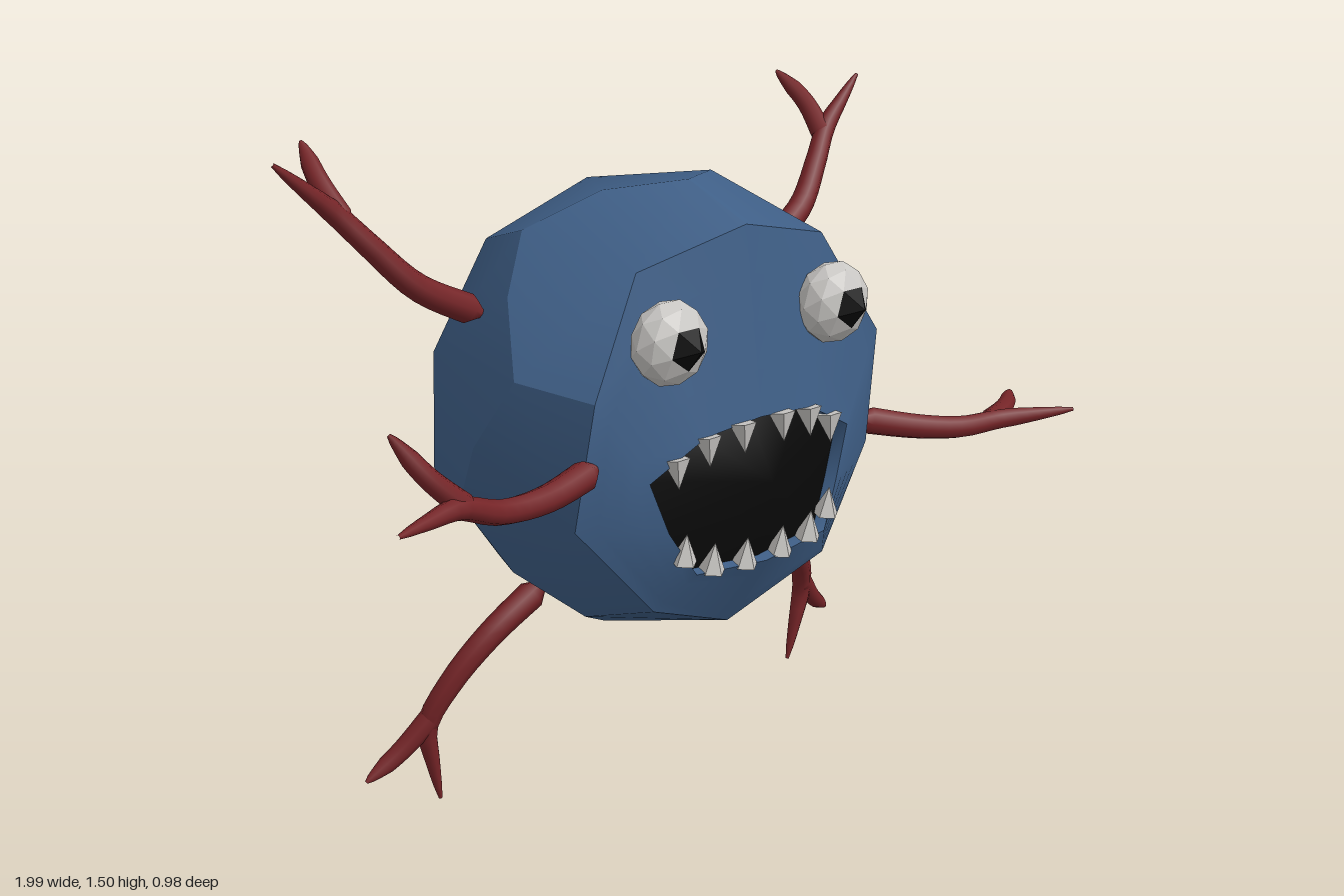
import * as THREE from 'three';
import { mergeGeometries } from 'three/addons/utils/BufferGeometryUtils.js';

const mat = (name, color) => {
  const m = new THREE.MeshStandardMaterial({ color });
  m.name = name;
  return m;
};
const V = (x, y, z) => new THREE.Vector3(x, y, z);
const CENTER = V(0, 0.865, 0.04);
const R = 0.532;

// Point on the body sphere: polar angle from +z, azimuth clockwise from the top
function onBody(polar, azimuth) {
  const p = THREE.MathUtils.degToRad(polar), a = THREE.MathUtils.degToRad(azimuth);
  return V(Math.sin(p) * Math.sin(a), Math.sin(p) * Math.cos(a), Math.cos(p))
    .multiplyScalar(R).add(CENTER);
}

function build(points, index) {
  const g = new THREE.BufferGeometry().setFromPoints(points);
  g.setIndex(index);
  g.computeVertexNormals();
  return g;
}

// Fan of triangles around a middle point, facing away from the body centre
function fan(middle, ring, closed = true) {
  const out = middle.clone().sub(CENTER);
  const turn = ring[0].clone().sub(middle).cross(ring[1].clone().sub(middle)).dot(out);
  const index = [];
  const n = ring.length;
  for (let i = 0; i < (closed ? n : n - 1); i++) {
    const a = i + 1, b = (i + 1) % n + 1;
    index.push(0, ...(turn > 0 ? [a, b] : [b, a]));
  }
  return build([middle, ...ring], index);
}

// Skin between closed rings, listed from the outside inwards
function skin(rings) {
  const n = rings[0].length, index = [];
  for (let i = 0; i < rings.length - 1; i++) {
    for (let j = 0; j < n; j++) {
      const k = (j + 1) % n, a = i * n + j, b = i * n + k, c = b + n, d = a + n;
      index.push(a, d, c, a, c, b);
    }
  }
  return build(rings.flat(), index);
}

// Twelve-faced ball without its front face; every face is a softly bulging pentagon
function shellGeometry() {
  const parts = [];
  const P = list => list.map(([p, a]) => onBody(p, a));
  const back = [];
  for (let k = 0; k < 5; k++) {
    const a = 72 * k, f = a + 36;
    back.push([148.3, a], [142.6, f]);
    parts.push(fan(onBody(116.6, a), P([
      [148.3, a], [142.6, a + 36], [121.7, a + 36], [100.8, a + 36], [90, a + 18],
      [79.2, a], [90, a - 18], [100.8, a - 36], [121.7, a - 36], [142.6, a - 36]])));
    parts.push(fan(onBody(63.4, f), P([
      [58.3, f - 36], [79.2, f - 36], [90, f - 18], [100.8, f],
      [90, f + 18], [79.2, f + 36], [58.3, f + 36]]), false));
  }
  parts.push(fan(onBody(180, 0), P(back)));
  return mergeGeometries(parts);
}

// Tapered tube along a path, rounded at the root and pointed at the tip
function taperedTube(points, r0, r1) {
  const segs = 18, sides = 8;
  const curve = new THREE.CatmullRomCurve3(points);
  const g = new THREE.TubeGeometry(curve, segs, 1, sides, false);
  const pos = g.attributes.position, v = V(0, 0, 0);
  for (let i = 0; i <= segs; i++) {
    const t = i / segs, c = curve.getPointAt(t);
    const tip = Math.min(1, (1 - t) / 0.3 + 0.05);
    const r = (i === 0 ? 0.35 : 1) * (r0 + (r1 - r0) * t) * Math.sqrt(tip);
    for (let j = 0; j <= sides; j++) {
      const n = i * (sides + 1) + j;
      v.fromBufferAttribute(pos, n).sub(c).multiplyScalar(r).add(c);
      pos.setXYZ(n, v.x, v.y, v.z);
    }
  }
  return g;
}

export function createModel() {
  const blue = mat('blue skin', 0x3f5f87);
  const red = mat('dark red limbs', 0x752427);
  const black = mat('black', 0x080808);
  const white = mat('off white', 0xc9c7c4);

  const model = new THREE.Group();
  model.name = 'monster';
  const add = (name, geometry, material, parent = model) => {
    const mesh = new THREE.Mesh(geometry, material);
    mesh.name = name;
    parent.add(mesh);
    return mesh;
  };

  // Body and face
  add('bodyShell', shellGeometry(), blue);
  const rim = [];
  for (let k = 0; k < 10; k++) rim.push(onBody(k % 2 ? 63.4 : 58.3, 36 * k));
  const half = [[0, 0.9, 0.375], [0.16, 0.887, 0.37], [0.305, 0.81, 0.35],
    [0.26, 0.69, 0.362], [0.2, 0.587, 0.385], [0, 0.572, 0.4]].map(p => V(...p));
  const lips = [...half, ...half.slice(1, 5).reverse().map(p => V(-p.x, p.y, p.z))];
  const rows = [0, 0.25, 0.5, 0.75, 1].map(t => rim.map((p, i) => p.clone().lerp(lips[i], t)));
  add('face', skin(rows), blue);

  // Mouth
  const inner = lips.map(p => V(p.x * 0.98, 0.74 + (p.y - 0.74) * 0.98, p.z - 0.03));
  add('lipEdge', skin([lips, inner]), blue);
  add('mouthInside', fan(V(0, 0.76, 0.415), inner), black);

  // Teeth: x, base height, z, direction
  const teeth = new THREE.Group();
  teeth.name = 'teeth';
  model.add(teeth);
  const toothRow = [
    [0.06, 0.892, 0.382, -1], [0.155, 0.88, 0.372, -1], [0.235, 0.845, 0.36, -1],
    [0.055, 0.58, 0.39, 1], [0.15, 0.59, 0.385, 1], [0.222, 0.625, 0.372, 1]];
  for (const [x, y, z, dir] of toothRow) {
    for (const s of [1, -1]) {
      const g = new THREE.ConeGeometry(0.031, 0.068, 5).toNonIndexed();
      g.computeVertexNormals();
      const tooth = add(dir < 0 ? 'upperTooth' : 'lowerTooth', g, white, teeth);
      tooth.position.set(s * x, y + dir * 0.026, z);
      tooth.rotation.set(dir < 0 ? Math.PI - 0.15 : 0.15, 0, 0);
    }
  }

  // Eyes: faceted ball whose front cap is the pupil
  const ball = new THREE.IcosahedronGeometry(0.098, 1);
  const apex = V(0, 1, (1 + Math.sqrt(5)) / 2).normalize();
  ball.applyQuaternion(new THREE.Quaternion().setFromUnitVectors(apex, V(0, 0, 1)));
  const bp = ball.attributes.position;
  for (let t = 0; t < bp.count; t += 3) {
    let cap = false;
    for (let i = t; i < t + 3; i++) {
      if (bp.getZ(i) > 0.095) {
        cap = true;
        bp.setZ(i, 0.138);
      }
    }
    ball.addGroup(t, 3, cap ? 1 : 0);
  }
  ball.scale(0.95, 0.95, 0.7);
  const eyeGeometry = ball;
  eyeGeometry.computeVertexNormals();
  for (const s of [1, -1]) {
    add(s > 0 ? 'leftEye' : 'rightEye', eyeGeometry, [white, black])
      .position.set(s * 0.248, 1.108, 0.347);
  }

  // Forked limbs: trunk points up to the fork, then the two tips
  const limb = (name, trunk, tipA, tipB, s = 1) => {
    const group = new THREE.Group();
    group.name = name;
    model.add(group);
    const pts = trunk.map(p => V(s * p[0], p[1], p[2]));
    const fork = pts[pts.length - 1];
    const before = fork.clone().lerp(pts[pts.length - 2], 0.25);
    const bend = tip => fork.clone().lerp(tip, 0.5).lerp(fork.clone().add(fork).sub(before), 0.15);
    const a = V(s * tipA[0], tipA[1], tipA[2]), b = V(s * tipB[0], tipB[1], tipB[2]);
    add('trunk', taperedTube([...pts, bend(a), a], 0.034, 0.02), red, group);
    add('branch', taperedTube([before, bend(b), b], 0.027, 0.018), red, group);
  };
  for (const [side, s] of [['left', 1], ['right', -1]]) {
    limb(side + 'UpperLimb',
      [[0.43, 1.125, -0.055], [0.58, 1.205, -0.075], [0.67, 1.3, -0.11], [0.735, 1.375, -0.14]],
      [0.865, 1.49, -0.16], [0.71, 1.5, -0.29], s);
    limb(side + 'LowerLimb',
      [[0.33, 0.49, 0.018], [0.47, 0.4, 0], [0.56, 0.3, -0.03], [0.605, 0.2, -0.06]],
      [0.568, 0.003, -0.07], [0.745, 0.09, -0.105], s);
  }
  limb('leftMiddleLimb',
    [[0.47, 0.758, 0.235], [0.6, 0.73, 0.315], [0.7, 0.718, 0.36], [0.81, 0.72, 0.388]],
    [0.985, 0.73, 0.48], [0.99, 0.73, 0.28]);
  limb('rightMiddleLimb',
    [[-0.42, 0.86, 0.305], [-0.58, 0.84, 0.335], [-0.71, 0.85, 0.35], [-0.82, 0.89, 0.365]],
    [-0.998, 0.89, 0.412], [-0.925, 1.045, 0.29]);

  return model;
}
